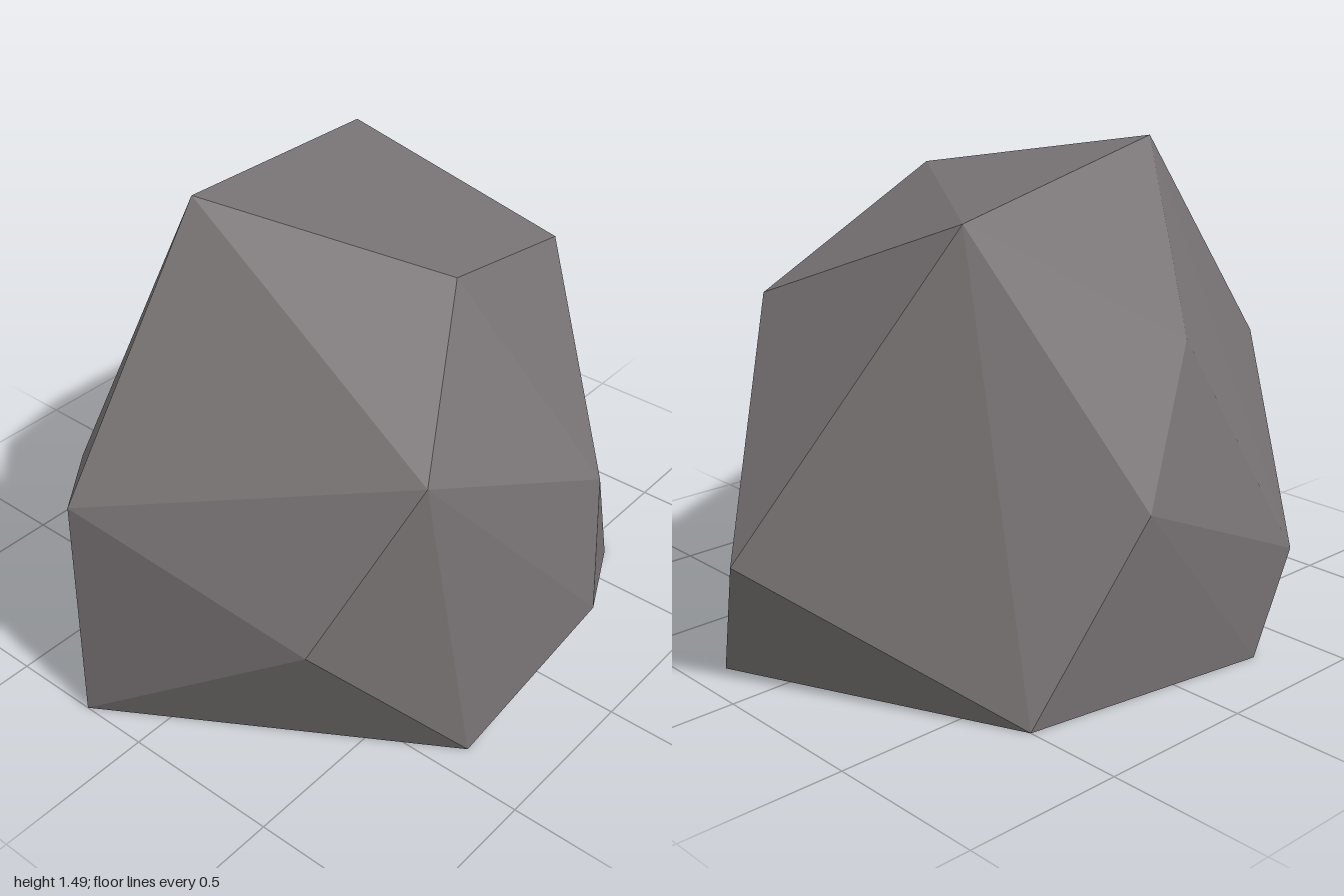
import * as THREE from 'three';
import { ConvexGeometry } from 'three/addons/geometries/ConvexGeometry.js';

// Corners of the faceted boulder, from the crown down to the flat base
const crown = [[-0.42, 1.49, -0.24], [-0.13, 1.36, 0.46], [0.48, 1.36, -0.40], [0.66, 1.09, 0.26]];
const shoulder = [[-0.54, 1.0, 0.69], [-0.07, 1.01, -0.71], [-1, 0.77, -0.2]];
const waist = [
  [0.16, 0.68, 0.79], [-0.80, 0.48, 0.49], [0.11, 0.25, 0.84],
  [1, 0.42, -0.02], [0.17, 0.58, -0.81], [-0.42, 0.33, -0.84],
];
const base = [
  [-0.40, 0, 0.76], [0.63, 0, 0.57], [0.89, 0, 0.20],
  [0.50, 0, -0.69], [-0.31, 0, -0.81], [-1, 0, -0.22],
];

export function createModel() {
  const group = new THREE.Group();
  group.name = 'rock';

  const stone = new THREE.MeshStandardMaterial({ color: 0x787374, flatShading: true });
  stone.name = 'grey stone';

  // The facets are the hull of the corners
  const corners = [...crown, ...shoulder, ...waist, ...base].map((p) => new THREE.Vector3(...p));
  const boulder = new THREE.Mesh(new ConvexGeometry(corners), stone);
  boulder.name = 'boulder';
  group.add(boulder);
  return group;
}
